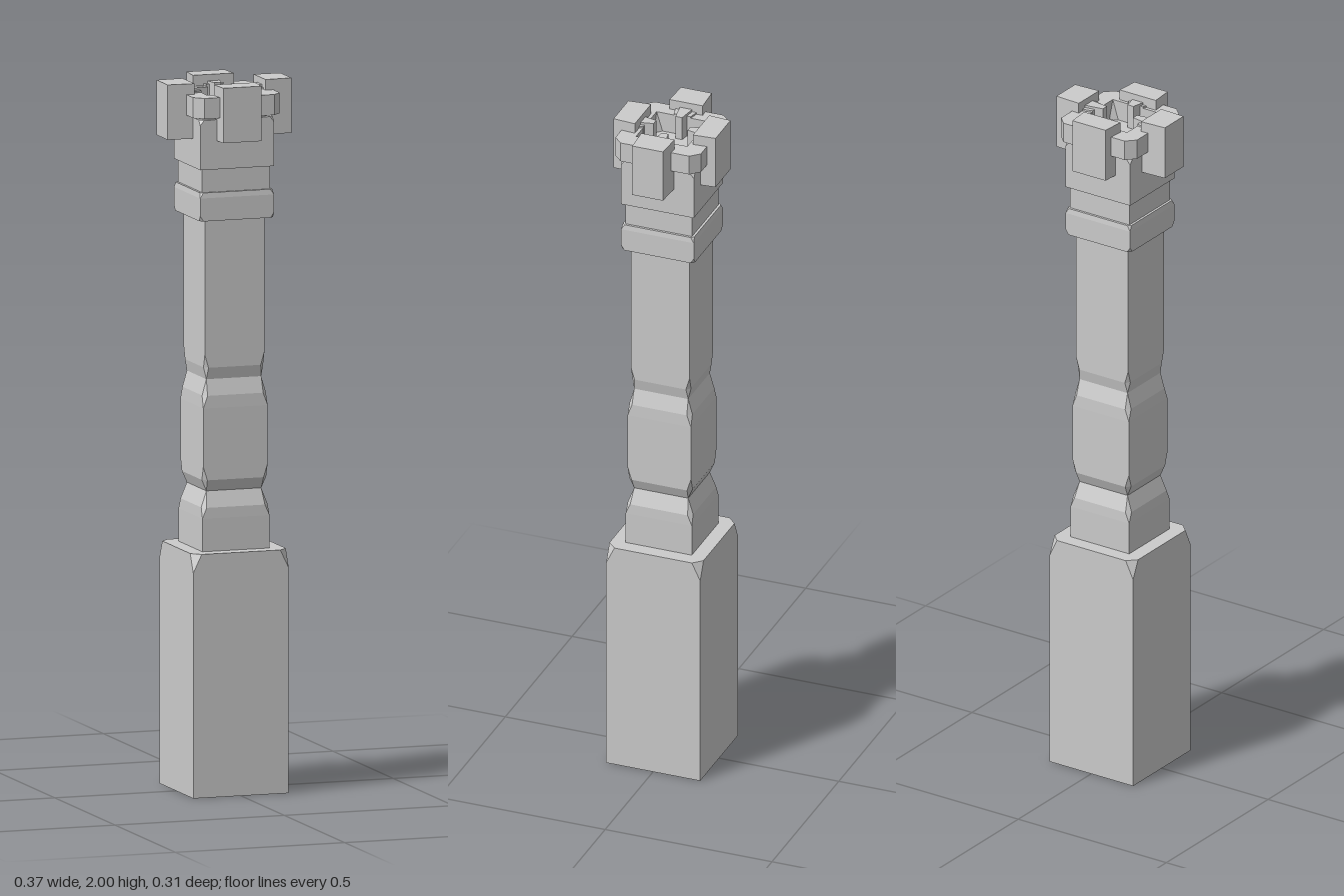
import * as THREE from 'three';

const material = new THREE.MeshStandardMaterial({ color: 0xcccccc, flatShading: true, side: THREE.DoubleSide });

// Lofts square sections [y, half width, corner cut] from bottom to top
function loft(name, sections, capTop = false) {
  const pos = [], index = [];
  for (const [y, h, c] of sections) {
    const k = h - c;
    for (const [x, z] of [[h, k], [h, -k], [k, -h], [-k, -h], [-h, -k], [-h, k], [-k, h], [k, h]]) pos.push(x, y, z);
  }
  for (let s = 0; s < sections.length - 1; s++) {
    for (let i = 0; i < 8; i++) {
      const a = s * 8 + i, b = s * 8 + (i + 1) % 8;
      index.push(a, b, b + 8, a, b + 8, a + 8);
    }
  }
  if (capTop) {
    const o = (sections.length - 1) * 8;
    for (let i = 1; i < 7; i++) index.push(o, o + i, o + i + 1);
  }
  let geometry = new THREE.BufferGeometry();
  geometry.setAttribute('position', new THREE.Float32BufferAttribute(pos, 3));
  geometry.setIndex(index);
  geometry = geometry.toNonIndexed();
  geometry.computeVertexNormals();
  const mesh = new THREE.Mesh(geometry, material);
  mesh.name = name;
  return mesh;
}

// Upright prism whose plan tapers from the inner to the outer radius
function taperedBlock(name, inner, innerHalf, outer, outerHalf, y0, y1) {
  const shape = new THREE.Shape([
    new THREE.Vector2(-innerHalf, -inner), new THREE.Vector2(-outerHalf, -outer),
    new THREE.Vector2(outerHalf, -outer), new THREE.Vector2(innerHalf, -inner),
  ]);
  const geometry = new THREE.ExtrudeGeometry(shape, { depth: y1 - y0, bevelEnabled: false });
  geometry.rotateX(-Math.PI / 2).translate(0, y0, 0);
  const mesh = new THREE.Mesh(geometry, material);
  mesh.name = name;
  return mesh;
}

export function createModel() {
  const model = new THREE.Group();
  model.name = 'carvedPost';

  // Plinth, open underneath, with clipped upper corners
  model.add(loft('plinth', [[0, 0.141, 0], [0.635, 0.141, 0], [0.687, 0.141, 0.025], [0.687, 0.09, 0]]));

  // Shaft with two notches; corners are nicked where the slopes begin
  model.add(loft('shaft', [
    [0.687, 0.099, 0], [0.78, 0.099, 0], [0.81, 0.098, 0.012], [0.855, 0.081, 0],
    [0.887, 0.095, 0.012], [0.925, 0.095, 0], [1.09, 0.095, 0], [1.125, 0.094, 0.012],
    [1.17, 0.081, 0], [1.203, 0.088, 0.011], [1.24, 0.088, 0], [1.62, 0.088, 0],
  ]));

  // Collar and neck
  model.add(loft('collar', [
    [1.62, 0.085, 0], [1.62, 0.109, 0.01], [1.635, 0.109, 0], [1.685, 0.109, 0],
    [1.7, 0.107, 0.008], [1.7, 0.09, 0],
  ]));
  model.add(loft('neck', [[1.7, 0.1, 0], [1.765, 0.1, 0]]));

  // Capital with an overhanging rim around a sunken top
  model.add(loft('capital', [
    [1.765, 0.09, 0], [1.765, 0.109, 0], [1.89, 0.109, 0], [1.905, 0.109, 0.012],
    [1.905, 0.1, 0.015], [1.912, 0.1, 0.015], [1.912, 0.128, 0.025], [1.97, 0.128, 0.025],
    [1.97, 0.077, 0], [1.912, 0.077, 0.018],
  ], true));

  // Four merlons, each with a bracket and a spike pointing inwards
  for (let i = 0; i < 4; i++) {
    const side = i % 2 === 1;
    const inner = side ? 0.105 : 0.087;
    const group = new THREE.Group();
    group.name = 'merlon' + ['Front', 'Left', 'Back', 'Right'][i];
    group.add(
      side ? taperedBlock('block', inner, 0.05, 0.183, 0.046, 1.845, 2)
        : taperedBlock('block', inner, 0.061, 0.153, 0.056, 1.845, 2),
      taperedBlock('bracket', 0.076, 0.025, inner + 0.01, 0.034, 1.91, 1.975),
      taperedBlock('spike', 0.051, 0.01, inner + 0.01, 0.02, 1.91, 1.982),
    );
    group.rotation.y = i * Math.PI / 2;
    model.add(group);
  }
  return model;
}
